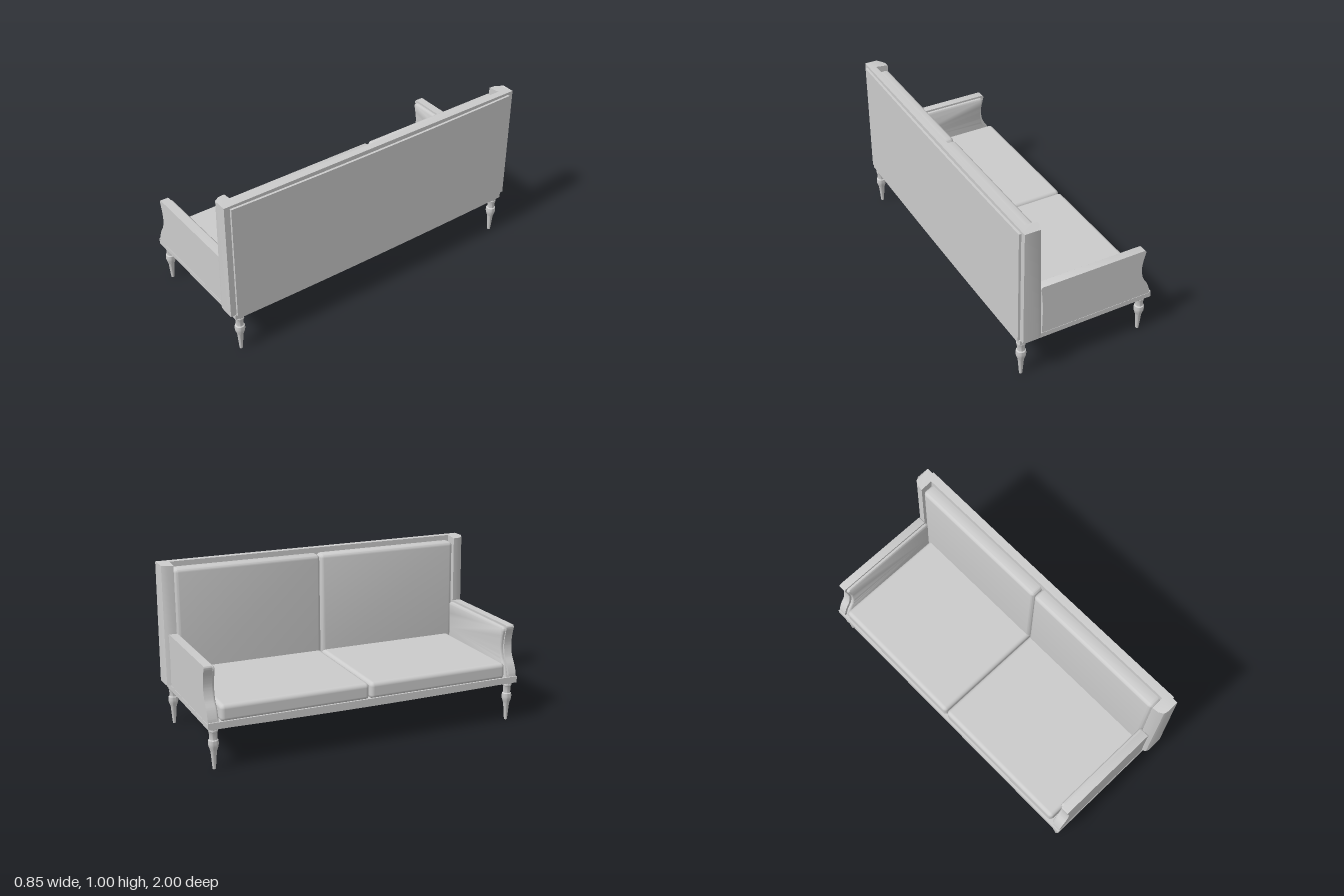
import * as THREE from 'three';
import { RoundedBoxGeometry } from 'three/addons/geometries/RoundedBoxGeometry.js';
import { toCreasedNormals } from 'three/addons/utils/BufferGeometryUtils.js';

const material = new THREE.MeshStandardMaterial({ color: 0xcccccc });

function add(parent, name, geometry) {
  const mesh = new THREE.Mesh(geometry, material);
  mesh.name = name;
  parent.add(mesh);
  return mesh;
}

// Move every vertex by a rule, then rebuild normals
function deform(geometry, rule) {
  const p = geometry.attributes.position;
  const v = new THREE.Vector3();
  for (let i = 0; i < p.count; i++) {
    rule(v.fromBufferAttribute(p, i));
    p.setXYZ(i, v.x, v.y, v.z);
  }
  return toCreasedNormals(geometry, 0.6);
}

// Box given by its limits
function box(x0, x1, y0, y1, z0, z1, zSegments = 1) {
  return new THREE.BoxGeometry(x1 - x0, y1 - y0, z1 - z0, 1, 1, zSegments)
    .translate((x0 + x1) / 2, (y0 + y1) / 2, (z0 + z1) / 2);
}

function cushion(x0, x1, y0, y1, z0, z1, r) {
  return new RoundedBoxGeometry(x1 - x0, y1 - y0, z1 - z0, 4, r)
    .translate((x0 + x1) / 2, (y0 + y1) / 2, (z0 + z1) / 2);
}

// Scrolled side outline of an arm, pulled in by an inset
function armShape(inset) {
  const s = new THREE.Shape();
  s.moveTo(0.28, 0.27);
  s.lineTo(-0.42 + inset, 0.27);
  s.splineThru([[-0.418, 0.3], [-0.4, 0.35], [-0.37, 0.4], [-0.356, 0.46], [-0.361, 0.52], [-0.375, 0.575]]
    .map(([x, y]) => new THREE.Vector2(x + inset, y - inset * 0.8)));
  s.quadraticCurveTo(-0.377 + inset, 0.593 - inset, -0.36 + inset, 0.593 - inset);
  s.lineTo(0.275, 0.593 - inset);
  s.quadraticCurveTo(0.29, 0.59 - inset, 0.288, 0.575 - inset);
  s.quadraticCurveTo(0.27, 0.48, 0.28, 0.27);
  return s;
}

export function createModel() {
  const sofa = new THREE.Group();
  sofa.name = 'sofa';

  // Platform with a slightly sagging underside and a front lip
  add(sofa, 'platform', deform(box(-0.425, 0.415, 0.245, 0.276, -0.975, 0.975, 16), (v) => {
    if (v.y < 0.26) v.y = 0.236 + 0.01 * v.z * v.z;
  }));
  add(sofa, 'frontLip', box(-0.43, -0.418, 0.245, 0.284, -0.975, 0.975));

  // Turned legs
  const legProfile = [[0, 0], [0.009, 0], [0.011, 0.02], [0.018, 0.105], [0.022, 0.118], [0.028, 0.135],
    [0.03, 0.152], [0.028, 0.17], [0.022, 0.175], [0.022, 0.185], [0.024, 0.218], [0.027, 0.222],
    [0.027, 0.23], [0.025, 0.232], [0.026, 0.25]].map(([r, y]) => new THREE.Vector2(r, y));
  const legGeometry = toCreasedNormals(new THREE.LatheGeometry(legProfile, 24), 0.6);
  for (const x of [-0.386, 0.386]) {
    for (const z of [-0.935, 0.935]) {
      add(sofa, 'leg', legGeometry).position.set(x, 0, z);
    }
  }

  // Back frame: one plan outline with a wing at each end, leaning back at the front
  const lean = (v) => {
    if (v.x < 0.345) v.x -= 0.016 * (1 - (v.y - 0.27) / 0.73);
  };
  const half = [[0.368, 0.925], [0.292, 0.925], [0.296, 0.965], [0.314, 0.993], [0.335, 1], [0.41, 1]];
  const plan = new THREE.Shape([
    ...half.map(([x, z]) => new THREE.Vector2(x, -z)),
    ...half.slice().reverse().map(([x, z]) => new THREE.Vector2(x, z)),
  ]);
  const frame = new THREE.ExtrudeGeometry(plan, { depth: 0.73, bevelEnabled: false, steps: 1 })
    .rotateX(-Math.PI / 2).translate(0, 0.275, 0);
  add(sofa, 'backFrame', deform(frame, (v) => {
    if (v.y > 0.9 && v.x < 0.32) v.y -= 0.008;
    lean(v);
  }));

  // Rear panel with a faintly dipped top edge
  add(sofa, 'rearPanel', deform(box(0.4, 0.424, 0.276, 0.99, -0.965, 0.965, 16), (v) => {
    if (v.y > 0.9) v.y -= 0.01 * (1 - v.z * v.z);
  }));

  for (const side of [-1, 1]) {
    // Seat and back cushions
    const z0 = side > 0 ? 0.003 : -0.897;
    add(sofa, 'seatCushion', cushion(-0.418, 0.325, 0.272, 0.372, z0, z0 + 0.894, 0.025));
    const b0 = side > 0 ? 0.002 : -0.92;
    add(sofa, 'backCushion', deform(cushion(0.295, 0.385, 0.29, 0.975, b0, b0 + 0.918, 0.025), lean));

    // Arm: outer scrolled board and a padded inner panel
    const arm = new THREE.Group();
    arm.name = 'arm';
    const board = new THREE.ExtrudeGeometry(armShape(0), { depth: 0.05, bevelEnabled: false, curveSegments: 8 })
      .translate(0, 0, side > 0 ? 0.923 : -0.973);
    add(arm, 'armBoard', toCreasedNormals(board, 0.6));
    const pad = new THREE.ExtrudeGeometry(armShape(0.022), {
      depth: 0.016, bevelThickness: 0.01, bevelSize: 0.01, bevelSegments: 3, curveSegments: 8,
    }).translate(0, 0, side > 0 ? 0.914 : -0.93);
    add(arm, 'armPad', toCreasedNormals(pad, 0.8));
    sofa.add(arm);
  }
  return sofa;
}
